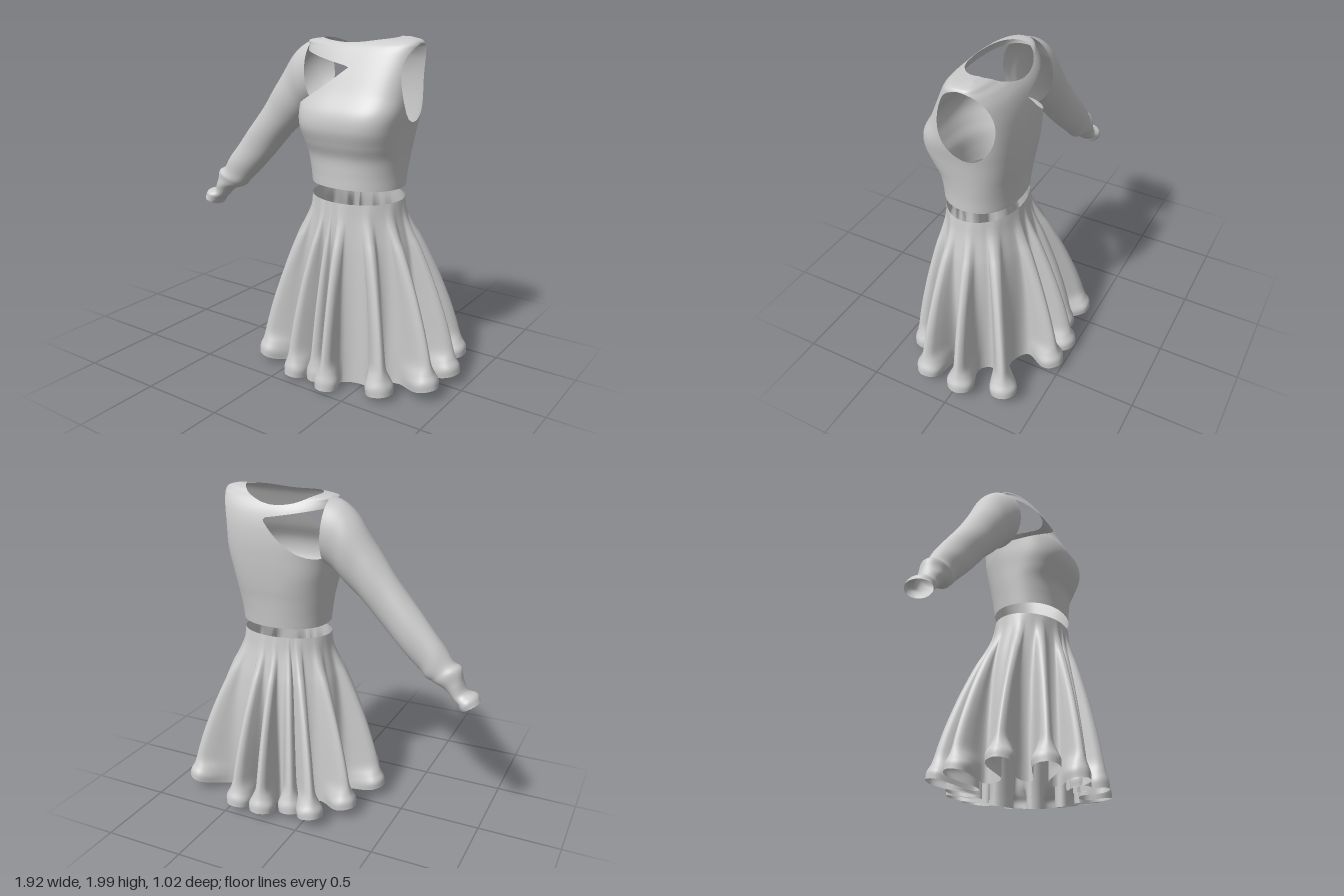
import * as THREE from 'three';
import { mergeVertices } from 'three/addons/utils/BufferGeometryUtils.js';

const material = new THREE.MeshStandardMaterial({ color: 0xcccccc, side: THREE.DoubleSide });
const V = (x, y, z) => new THREE.Vector3(x, y, z);
const spline = (points, closed = false) => new THREE.CatmullRomCurve3(points, closed, 'catmullrom', 0.5);

// Skin a list of closed rings
function loft(rings) {
  const n = rings[0].length, index = [];
  for (let i = 0; i < rings.length - 1; i++) {
    for (let j = 0; j < n; j++) {
      const k = (j + 1) % n, a = i * n + j, b = i * n + k;
      index.push(a, a + n, b, b, a + n, b + n);
    }
  }
  const geometry = new THREE.BufferGeometry().setFromPoints(rings.flat());
  geometry.setIndex(index);
  geometry.computeVertexNormals();
  return geometry;
}

// Keep only the surface where keep(p) > 0, with clean cut edges
function cut(geometry, keep) {
  const pos = geometry.toNonIndexed().attributes.position, out = [];
  for (let i = 0; i < pos.count; i += 3) {
    const tri = [0, 1, 2].map((k) => new THREE.Vector3().fromBufferAttribute(pos, i + k));
    const d = tri.map(keep), poly = [];
    for (let k = 0; k < 3; k++) {
      const m = (k + 1) % 3;
      if (d[k] > 0) poly.push(tri[k]);
      if (d[k] > 0 !== d[m] > 0) poly.push(tri[k].clone().lerp(tri[m], d[k] / (d[k] - d[m])));
    }
    for (let k = 1; k < poly.length - 1; k++) out.push(poly[0], poly[k], poly[k + 1]);
  }
  const result = mergeVertices(new THREE.BufferGeometry().setFromPoints(out), 1e-5);
  result.computeVertexNormals();
  return result;
}

function bodiceGeometry() {
  // y, x min, x max, z back, z front, squareness of the section
  const profile = [
    [1.17, 0.04, 0.595, -0.17, 0.28, 2.2], [1.25, 0.03, 0.597, -0.178, 0.281, 2.25],
    [1.34, 0.018, 0.605, -0.188, 0.288, 2.4], [1.42, 0.008, 0.615, -0.2, 0.32, 2.6],
    [1.51, -0.004, 0.628, -0.21, 0.348, 2.8], [1.6, -0.012, 0.645, -0.217, 0.338, 2.75],
    [1.7, -0.022, 0.655, -0.22, 0.28, 2.6], [1.8, -0.034, 0.664, -0.212, 0.232, 2.45],
    [1.88, -0.044, 0.67, -0.19, 0.192, 2.35], [1.935, -0.045, 0.672, -0.155, 0.16, 2.3],
    [1.965, -0.035, 0.67, -0.12, 0.13, 2.3], [1.985, 0.15, 0.65, -0.09, 0.08, 2.3],
    [2.0, 0.48, 0.58, -0.035, -0.035, 2.3],
  ];
  const xs = spline(profile.map((p) => V(p[0], p[1], p[2])));
  const zs = spline(profile.map((p) => V(p[3], p[4], p[5])));
  const rings = [], rows = 96, sides = 144;
  for (let i = 0; i <= rows; i++) {
    const u = i / rows, a = xs.getPoint(u), b = zs.getPoint(u), ring = [];
    const round = (v, power) => Math.sign(v) * Math.abs(v) ** (2 / power);
    for (let j = 0; j < sides; j++) {
      const t = (j / sides) * Math.PI * 2;
      // Squarer towards the armhole than towards the sleeve
      const power = b.z + (Math.cos(t) > 0 ? u * 1.1 : 0);
      ring.push(V((a.y + a.z) / 2 + round(Math.cos(t), power) * (a.z - a.y) / 2, a.x,
        (b.x + b.y) / 2 + round(Math.sin(t), power) * (b.y - b.x) / 2));
    }
    rings.push(ring);
  }
  let geometry = loft(rings);
  // Neck opening
  geometry = cut(geometry, (p) => Math.max(((p.x - 0.285) / 0.245) ** 2 + ((p.z + 0.02) / 0.15) ** 2 - 1, 1.8 - p.y));
  // Left armhole
  geometry = cut(geometry, (p) => Math.max(((p.z + 0.005) / 0.16) ** 2 + ((p.y - 1.755) / 0.215) ** 2 - 1, 0.45 - p.x));
  // Front and back shoulder cutouts, the back one with a deeper curve
  return cut(geometry, (p) => {
    const bow = Math.max(0, p.x * (0.34 - p.x)) * (p.z < 0 ? 1.8 : 0.6);
    return Math.max(p.y - (1.91 - 0.18 * (p.x + 0.04)), 1.61 + 0.68 * p.x - bow - p.y);
  });
}

function sleeveGeometry() {
  // top x, top y, bottom x, bottom y, z centre, z half width
  const sections = [
    [-0.03, 1.968, -0.005, 1.57, -0.025, 0.157], [-0.12, 1.925, -0.05, 1.545, -0.025, 0.147],
    [-0.2, 1.85, -0.1, 1.5, -0.03, 0.135], [-0.3, 1.71, -0.18, 1.43, -0.03, 0.122],
    [-0.42, 1.55, -0.29, 1.33, -0.035, 0.107], [-0.58, 1.36, -0.43, 1.18, -0.045, 0.094],
    [-0.72, 1.2, -0.57, 1.05, -0.05, 0.084], [-0.79, 1.1, -0.63, 0.99, -0.05, 0.08],
    [-0.84, 1.065, -0.67, 0.965, -0.05, 0.08], [-0.86, 0.995, -0.74, 0.94, -0.05, 0.072],
    [-0.885, 0.935, -0.8, 0.885, -0.05, 0.064], [-0.94, 0.915, -0.835, 0.855, -0.05, 0.084],
    [-0.965, 0.88, -0.86, 0.82, -0.05, 0.084],
  ];
  const top = spline(sections.map((s) => V(s[0], s[1], s[4])));
  const bottom = spline(sections.map((s) => V(s[2], s[3], s[4])));
  const width = spline(sections.map((s) => V(s[5], 0, 0)));
  const rings = [], rows = 84, sides = 48;
  for (let i = 0; i <= rows; i++) {
    const u = i / rows, a = top.getPoint(u), b = bottom.getPoint(u);
    const mid = a.clone().lerp(b, 0.5), up = a.sub(mid), w = width.getPoint(u).x, ring = [];
    for (let j = 0; j < sides; j++) {
      const t = (j / sides) * Math.PI * 2;
      // Soft diagonal wrinkles, fading in below the shoulder
      const k = 1 + 0.025 * Math.min(1, u * 2) * Math.sin(u * 48 + 2 * t) * Math.sin(t + 0.6);
      ring.push(mid.clone().addScaledVector(up, Math.cos(t) * k).add(V(0, 0, Math.sin(t) * w * k)));
    }
    rings.push(ring);
  }
  return loft(rings);
}

function skirtGeometry() {
  // Outer tips (x, z) of the flutes at the hem
  const tips = [
    [-0.1, -0.455], [0.07, -0.42], [0.26, -0.515], [0.46, -0.505], [0.87, -0.335], [0.96, -0.05], [0.935, 0.21],
    [0.71, 0.395], [0.36, 0.505], [0.23, 0.43], [0.08, 0.47], [-0.2, 0.36], [-0.34, 0.11], [-0.26, -0.23],
  ];
  const cx = 0.315, cz = 0.02, TAU = Math.PI * 2;
  const flutes = tips.map(([x, z]) => ({ x, z, angle: Math.atan2((z - cz) / 0.28, (x - cx) / 0.38) }))
    .sort((a, b) => a.angle - b.angle);
  const n = flutes.length;
  const valley = (t) => V(cx + 0.38 * Math.cos(t), 0, cz + 0.28 * Math.sin(t));
  const waist = (t) => V(cx + 0.283 * Math.cos(t), 0, 0.055 + 0.225 * Math.sin(t));

  // Eight control points per flute: valley, neck, two on the bulb, tip, and back
  function ring(y, f, bulb) {
    const controls = [];
    // Valleys spread early, then hang straight down
    const inner = 1 - (1 - f) ** 2.2;
    flutes.forEach((flute, i) => {
      const prev = flutes[(i + n - 1) % n], next = flutes[(i + 1) % n], t = flute.angle;
      const before = (t - prev.angle + TAU) % TAU, after = (next.angle - t + TAU) % TAU;
      const gap = Math.min(...[prev, next].map((o) => Math.hypot(o.x - flute.x, o.z - flute.z)));
      const r = Math.min(0.077, gap * 0.44), base = valley(t), tip = V(flute.x, 0, flute.z);
      const out = tip.clone().sub(base), length = out.length();
      out.normalize();
      const side = V(-out.z, 0, out.x);
      const add = (along, across, angle, spread) => controls.push(waist(angle).lerp(
        base.clone().addScaledVector(out, along).addScaledVector(side, across), spread));
      controls.push(waist(t - before / 2).lerp(valley(t - before / 2), inner));
      add(length * 0.15, -r * 0.55, t - before * 0.3, (f + inner) / 2);
      add(length - 1.25 * r, -r * bulb, t - before * 0.17, f);
      add(length - 0.4 * r, -r * 0.8 * bulb, t - before * 0.08, f);
      add(length, 0, t, f);
      add(length - 0.4 * r, r * 0.8 * bulb, t + after * 0.08, f);
      add(length - 1.25 * r, r * bulb, t + after * 0.17, f);
      add(length * 0.15, r * 0.55, t + after * 0.3, (f + inner) / 2);
    });
    const curve = spline(controls, true), points = [], count = n * 32;
    for (let j = 0; j < count; j++) {
      const p = curve.getPoint(j / count);
      const lift = 0.09 * ((p.x - cx) / 0.65) ** 2 + (p.z > 0 ? 0.03 : 0.06) * (p.z / 0.5) ** 2;
      p.y = y + lift * (1 - y / 1.1) - 0.05 * (p.z - 0.055) * (y / 1.1) ** 4;
      points.push(p);
    }
    return points;
  }
  // height, spread from waist to hem, bulb width
  const rows = spline([
    V(0, 1, 1), V(0.05, 0.985, 1.05), V(0.1, 0.93, 0.85), V(0.16, 0.885, 0.58), V(0.25, 0.83, 0.52),
    V(0.4, 0.72, 0.52), V(0.6, 0.54, 0.55), V(0.8, 0.32, 0.7), V(0.9, 0.18, 0.8), V(1, 0.06, 1), V(1.1, 0, 1),
  ]);
  return loft(rows.getPoints(50).map((p) => ring(p.x, p.y, p.z)));
}

export function createModel() {
  const model = new THREE.Group();
  const parts = { bodice: bodiceGeometry(), rightSleeve: sleeveGeometry(), skirt: skirtGeometry() };
  for (const [name, geometry] of Object.entries(parts)) {
    const mesh = new THREE.Mesh(geometry, material);
    mesh.name = name;
    model.add(mesh);
  }
  return model;
}
